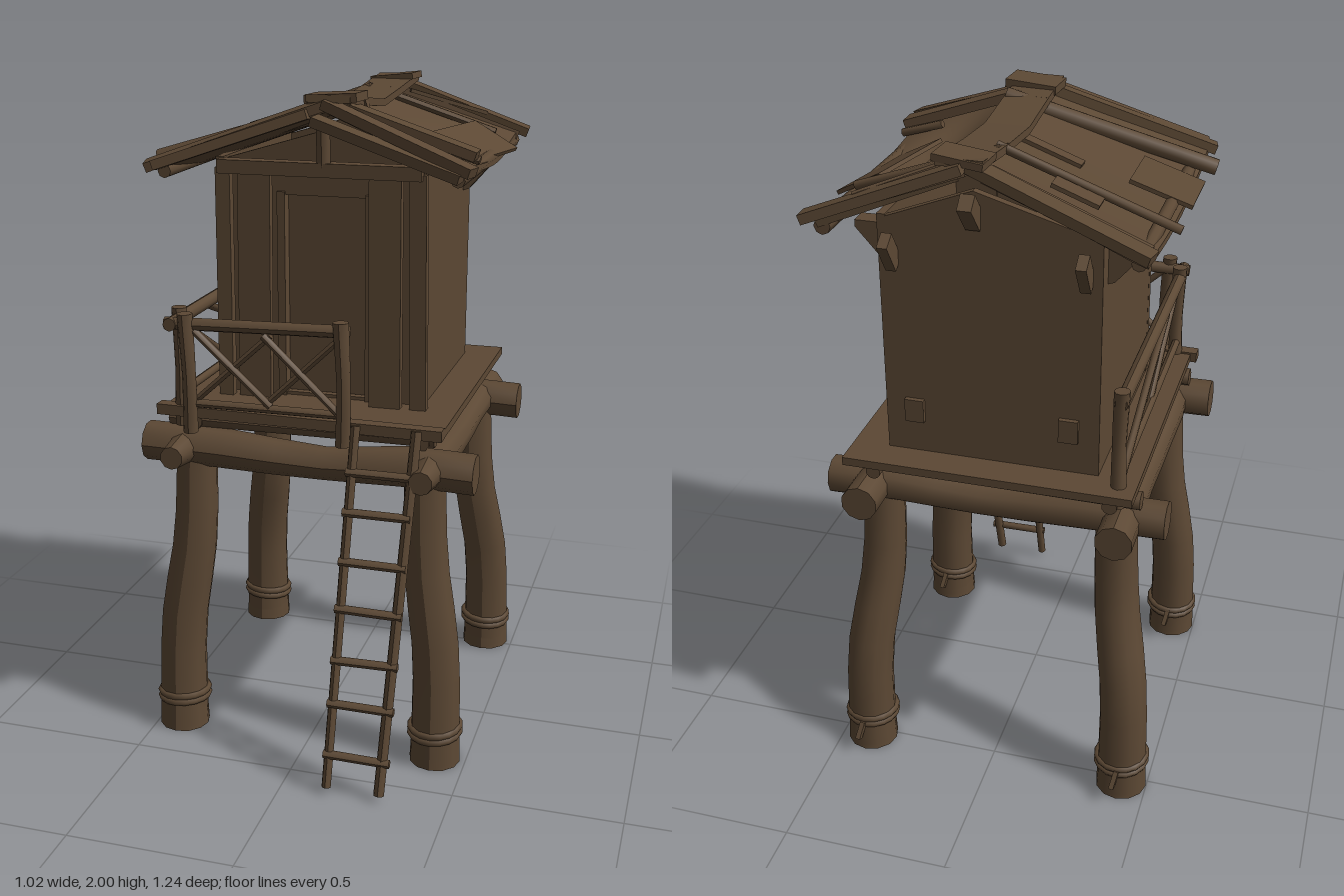
import * as THREE from 'three';

const V = (a) => new THREE.Vector3(...a);

export function createModel() {
  const model = new THREE.Group();
  const wood = new THREE.MeshStandardMaterial({ color: 0x5c4834 });
  wood.name = 'brown wood';
  let seed = 7;
  const rnd = () => ((seed = (seed * 16807) % 2147483647) / 2147483647) - 0.5;

  const add = (name, geo) => {
    const mesh = new THREE.Mesh(geo, wood);
    mesh.name = name;
    model.add(mesh);
    return mesh;
  };
  const box = (name, x0, x1, y0, y1, z0, z1) => add(name,
    new THREE.BoxGeometry(x1 - x0, y1 - y0, z1 - z0).translate((x0 + x1) / 2, (y0 + y1) / 2, (z0 + z1) / 2));

  // Round timber following a curve, with its radius interpolated along the list
  const log = (name, pts, radii, sides = 10) => {
    const p = pts.map(V);
    const curve = p.length > 2 ? new THREE.CatmullRomCurve3(p) : new THREE.LineCurve3(p[0], p[1]);
    const rows = p.length > 2 ? 8 : radii.length > 1 ? 6 : 1;
    const geo = new THREE.CylinderGeometry(1, 1, 1, sides, rows);
    const q = new THREE.Quaternion().setFromUnitVectors(V([0, 1, 0]), p[p.length - 1].clone().sub(p[0]).normalize());
    const pos = geo.attributes.position, v = new THREE.Vector3();
    for (let i = 0; i < pos.count; i++) {
      v.fromBufferAttribute(pos, i);
      const t = v.y + 0.5, s = t * (radii.length - 1), k = Math.min(Math.floor(s), radii.length - 1);
      const r = THREE.MathUtils.lerp(radii[k], radii[Math.min(k + 1, radii.length - 1)], s - k);
      v.set(v.x * r, 0, v.z * r).applyQuaternion(q).add(curve.getPoint(t));
      pos.setXYZ(i, v.x, v.y, v.z);
    }
    geo.computeVertexNormals();
    return add(name, geo);
  };

  // Flat board from a to b; its broad face turns toward the up hint
  const board = (name, a, b, width, thick, up = [0, 1, 0]) => {
    const A = V(a), B = V(b), dir = B.clone().sub(A), len = dir.length();
    dir.normalize();
    const side = dir.clone().cross(V(up)).normalize();
    const geo = new THREE.BoxGeometry(len, thick, width);
    geo.applyMatrix4(new THREE.Matrix4().makeBasis(dir, side.clone().cross(dir), side));
    return add(name, geo.translate(...A.add(B).multiplyScalar(0.5).toArray()));
  };

  // Splayed legs with rope rings and knots at the feet
  for (const [x0, x1, z0, z1] of [[-0.42, -0.36, 0.31, 0.28], [0.405, 0.35, 0.31, 0.28],
    [-0.42, -0.36, -0.52, -0.43], [0.405, 0.35, -0.52, -0.43]]) {
    const s = Math.sign(x0), d = Math.sign(z0);
    log('leg', [[x0, 0.01, z0], [x0 * 0.985, 0.35, z0 * 0.97], [x1 * 1.03, 0.65, z1 * 1.03], [x1, 0.95, z1]],
      [0.077, 0.073, 0.072, 0.066, 0.062], 12);
    log('foot', [[x0, 0, z0], [x0, 0.1, z0]], [0.079, 0.074], 12);
    for (const y of [0.095, 0.115]) {
      const ring = add('ropeRing', new THREE.TorusGeometry(0.075, 0.011, 6, 16));
      ring.rotation.set(Math.PI / 2 + 0.05 * s, 0.05 * d, 0);
      ring.position.set(x0 * 0.995, y, z0 * 0.99);
    }
    board('ropeKnot', [x0, 0.11, z0 - 0.075], [x0 + 0.01, 0.06, z0 - 0.1], 0.025, 0.015, [1, 0, 0]);
  }

  // Sagging support beams
  for (const [z, r] of [[0.3, 0.06], [-0.44, 0.058]])
    log('crossBeam', [[-0.51, 0.945, z], [-0.25, 0.94, z], [0.05, 0.925, z], [0.3, 0.94, z], [0.505, 0.935, z]],
      [r, r, 0.05, r, r]);
  for (const x of [-0.385, 0.37])
    log('sideBeam', [[x, 0.94, 0.43], [x, 0.94, 0.2], [x, 0.925, -0.1], [x, 0.94, -0.4], [x, 0.94, -0.59]],
      [0.035, 0.058, 0.05, 0.045, 0.055, 0.055]);

  // Platform and joists
  box('platform', -0.43, 0.42, 1.055, 1.08, -0.57, 0.37);
  board('platformEdge', [-0.45, 1.07, 0.35], [0.42, 1.07, 0.37], 0.04, 0.032);
  for (const x of [-0.36, 0.34]) log('joist', [[x, 1.02, 0.31], [x, 1.025, -0.54]], [0.028, 0.022]);
  for (const z of [0.28, -0.48]) log('joist', [[-0.44, 1.025, z], [0.38, 1.025, z]], [0.028, 0.025]);

  // Hut walls; the front one is set back and has a doorway
  for (const s of [-1, 1]) box('sideWall', s * 0.3 - 0.012, s * 0.3 + 0.012, 1.08, 1.8, -0.47, 0.19);
  const outline = () => new THREE.Shape([[-0.3, 1.08], [0.3, 1.08], [0.3, 1.79], [0.04, 1.89], [-0.3, 1.79]]
    .map((p) => new THREE.Vector2(...p)));
  add('backWall', new THREE.ExtrudeGeometry(outline(), { depth: 0.024, bevelEnabled: false }).translate(0, 0, -0.47));
  const front = outline();
  front.holes.push(new THREE.Path([[-0.13, 1.09], [-0.13, 1.69], [0.15, 1.69], [0.15, 1.09]]
    .map((p) => new THREE.Vector2(...p))));
  add('frontWall', new THREE.ExtrudeGeometry(front, { depth: 0.024, bevelEnabled: false }).translate(0, 0, 0.125));
  box('door', -0.13, 0.15, 1.08, 1.69, 0.1, 0.12);

  // Upright planks and tie beam across the front
  board('frontPlank', [-0.29, 1.08, 0.19], [-0.29, 1.77, 0.185], 0.045, 0.03, [0, 0, 1]);
  board('frontPlank', [-0.2, 1.08, 0.185], [-0.195, 1.77, 0.185], 0.1, 0.025, [0, 0, 1]);
  board('frontPlank', [0.205, 1.08, 0.19], [0.2, 1.77, 0.185], 0.095, 0.03, [0, 0, 1]);
  board('frontPlank', [0.305, 1.08, 0.185], [0.295, 1.77, 0.185], 0.05, 0.03, [0, 0, 1]);
  for (const x of [-0.125, 0.145]) box('doorJamb', x - 0.012, x + 0.012, 1.08, 1.7, 0.11, 0.16);
  box('tieBeam', -0.3, 0.31, 1.755, 1.795, 0.17, 0.22);
  log('kingPost', [[0.02, 1.78, 0.2], [0.02, 1.92, 0.21]], [0.02]);

  // Slanted bracket ends under the eaves, and pegs on the back wall
  for (const s of [-1, 1]) {
    const tri = new THREE.Shape([[0.3, 1.75], [0.3, 1.64], [0.33, 1.65], [0.4, 1.73], [0.4, 1.75]]
      .map(([x, y]) => new THREE.Vector2(x, y)));
    const geo = new THREE.ExtrudeGeometry(tri, { depth: 0.055, bevelEnabled: false }).translate(0, 0, -0.0275);
    if (s < 0) geo.rotateY(Math.PI);
    add('eaveBracket', geo.translate(0, 0, -0.385));
    board('backBracket', [s * 0.27, 1.66, -0.47], [s * 0.27, 1.75, -0.53], 0.05, 0.03, [1, 0, 0]);
    box('wallPeg', s * 0.225 - 0.028, s * 0.225 + 0.028, 1.18, 1.25, -0.485, -0.46);
  }
  board('ridgeBracket', [0.04, 1.8, -0.46], [0.04, 1.88, -0.53], 0.05, 0.04, [1, 0, 0]);

  // Sagging roof sheets, longer at the eaves than at the ridge
  const sag = (z) => -0.035 * Math.max(0, 1 - ((z + 0.12) / 0.44) ** 2);
  const roofSheet = (name, x0, x1, height) => {
    const geo = new THREE.BoxGeometry(x1 - x0, 0.018, 0.92, 12, 1, 16).translate((x0 + x1) / 2, 0, -0.12);
    const p = geo.attributes.position;
    for (let i = 0; i < p.count; i++) {
      const x = p.getX(i), z = -0.12 + (p.getZ(i) + 0.12) * (0.82 + 0.18 * Math.min(1, Math.abs(x - 0.03) / 0.44));
      p.setXYZ(i, x, p.getY(i) + height(x, z) + sag(z), z);
    }
    geo.computeVertexNormals();
    add(name, geo);
  };
  const leftSlope = (x) => 1.945 + 0.36 * x;
  const rightSlope = (x) => 1.945 - 0.36 * (x - 0.08);
  roofSheet('leftRoof', -0.45, 0.05, leftSlope);
  roofSheet('rightRoof', 0.05, 0.45, (x, z) => rightSlope(x)
    - 0.06 * Math.exp(-(((x - 0.29 + 0.25 * z) / 0.09) ** 2) - ((z + 0.03) / 0.22) ** 2));

  // Ridge cap, dipping in the middle
  const ridge = [[0.05, 1.98, 0.26], [0.055, 1.96, 0.1], [0.055, 1.938, -0.1], [0.055, 1.955, -0.3], [0.06, 1.98, -0.52]];
  for (let i = 0; i < 4; i++) board('ridgeCap', ridge[i], ridge[i + 1], 0.13, 0.022);
  board('ridgeEnd', [-0.02, 1.975, 0.2], [0.135, 1.985, 0.21], 0.1, 0.025);
  board('ridgeEnd', [-0.01, 1.975, -0.48], [0.13, 1.99, -0.47], 0.1, 0.02);

  // Overlapping boards along both gable edges
  const gable = [
    [[-0.47, 1.785, 0.33], [0.04, 1.965, 0.24], 0.06], [[-0.44, 1.79, 0.35], [0.0, 1.94, 0.29], 0.045],
    [[0.48, 1.805, 0.35], [0.04, 1.965, 0.25], 0.055], [[0.45, 1.79, 0.355], [0.02, 1.925, 0.3], 0.05],
    [[0.46, 1.83, 0.19], [0.1, 1.95, 0.2], 0.07],
    [[-0.46, 1.8, -0.575], [0.04, 1.965, -0.485], 0.06], [[-0.44, 1.79, -0.53], [0.0, 1.94, -0.47], 0.06],
    [[0.48, 1.81, -0.57], [0.05, 1.97, -0.52], 0.06], [[0.45, 1.8, -0.54], [0.08, 1.94, -0.47], 0.06],
  ];
  for (const [a, b, w] of gable) board('gableBoard', a, b, w, 0.028, [rnd() * 0.2, 1, rnd() * 0.3]);

  // Battens and loose patches on the slopes
  log('roofPole', [[-0.5, 1.785, 0.165], [0.12, 1.965, 0.105]], [0.025, 0.027], 8);
  log('roofBatten', [[-0.49, 1.785, -0.335], [0.02, 1.965, -0.315]], [0.013], 6);
  log('roofBatten', [[0.0, 1.965, -0.345], [0.41, 1.83, -0.365]], [0.013], 6);
  log('roofBatten', [[0.33, 1.85, 0.14], [0.46, 1.81, 0.145]], [0.013], 6);
  board('roofPatch', [-0.48, 1.765, -0.02], [-0.3, 1.825, -0.02], 0.2, 0.012);
  board('roofPatch', [-0.17, 1.863, -0.13], [0, 1.925, -0.125], 0.04, 0.012);
  board('roofPatch', [-0.28, 1.85, -0.37], [-0.15, 1.9, -0.37], 0.06, 0.012);
  board('roofPatch', [0.31, 1.86, -0.19], [0.45, 1.785, -0.16], 0.33, 0.012);
  board('roofSplinter', [0.12, 1.945, -0.43], [0.35, 1.87, -0.53], 0.02, 0.012);
  log('eavePole', [[0.43, 1.785, -0.56], [0.43, 1.775, 0.3]], [0.024, 0.02], 8);
  log('eavePole', [[-0.42, 1.77, -0.55], [-0.42, 1.77, 0.32]], [0.02], 8);

  // Front railing with crossed braces
  log('railPost', [[-0.33, 1.02, 0.4], [-0.325, 1.2, 0.415], [-0.335, 1.38, 0.41]], [0.022, 0.02, 0.023]);
  log('railPost', [[0.135, 1.02, 0.4], [0.14, 1.2, 0.41], [0.13, 1.385, 0.405]], [0.022, 0.02, 0.023]);
  log('topRail', [[-0.4, 1.345, 0.4], [0.15, 1.355, 0.39]], [0.019], 8);
  log('lowRail', [[-0.34, 1.11, 0.4], [0.14, 1.11, 0.395]], [0.013], 8);
  for (const [x0, x1] of [[-0.31, -0.08], [-0.1, 0.12]]) {
    log('railBrace', [[x0, 1.12, 0.395], [x1, 1.33, 0.395]], [0.011], 6);
    log('railBrace', [[x0, 1.33, 0.405], [x1, 1.12, 0.405]], [0.011], 6);
  }

  // Side railing
  for (const z of [0.34, -0.505])
    log('railPost', [[-0.38, 1.02, z - 0.005], [-0.375, 1.2, z + 0.005], [-0.38, 1.38, z]], [0.024, 0.02, 0.023]);
  log('topRail', [[-0.38, 1.345, 0.42], [-0.38, 1.345, -0.52]], [0.02], 8);
  log('lowRail', [[-0.38, 1.12, 0.34], [-0.38, 1.11, -0.5]], [0.013], 8);
  log('railBrace', [[-0.375, 1.33, 0.33], [-0.375, 1.11, -0.08]], [0.012], 6);
  log('railBrace', [[-0.385, 1.11, -0.49], [-0.385, 1.33, 0.1]], [0.012], 6);

  // Leaning ladder
  log('ladderRail', [[0.14, 0.02, 0.59], [0.168, 1.08, 0.385]], [0.014], 8);
  log('ladderRail', [[0.3, 0.02, 0.59], [0.347, 1.08, 0.385]], [0.016], 8);
  for (const y of [0.12, 0.27, 0.405, 0.55, 0.69, 0.83, 0.95]) {
    const z = 0.6 - 0.193 * y, x = 0.125 + 0.025 * y;
    log('ladderRung', [[x, y + rnd() * 0.01, z], [x + 0.2, y + rnd() * 0.01, z]], [0.013], 6);
  }
  return model;
}
